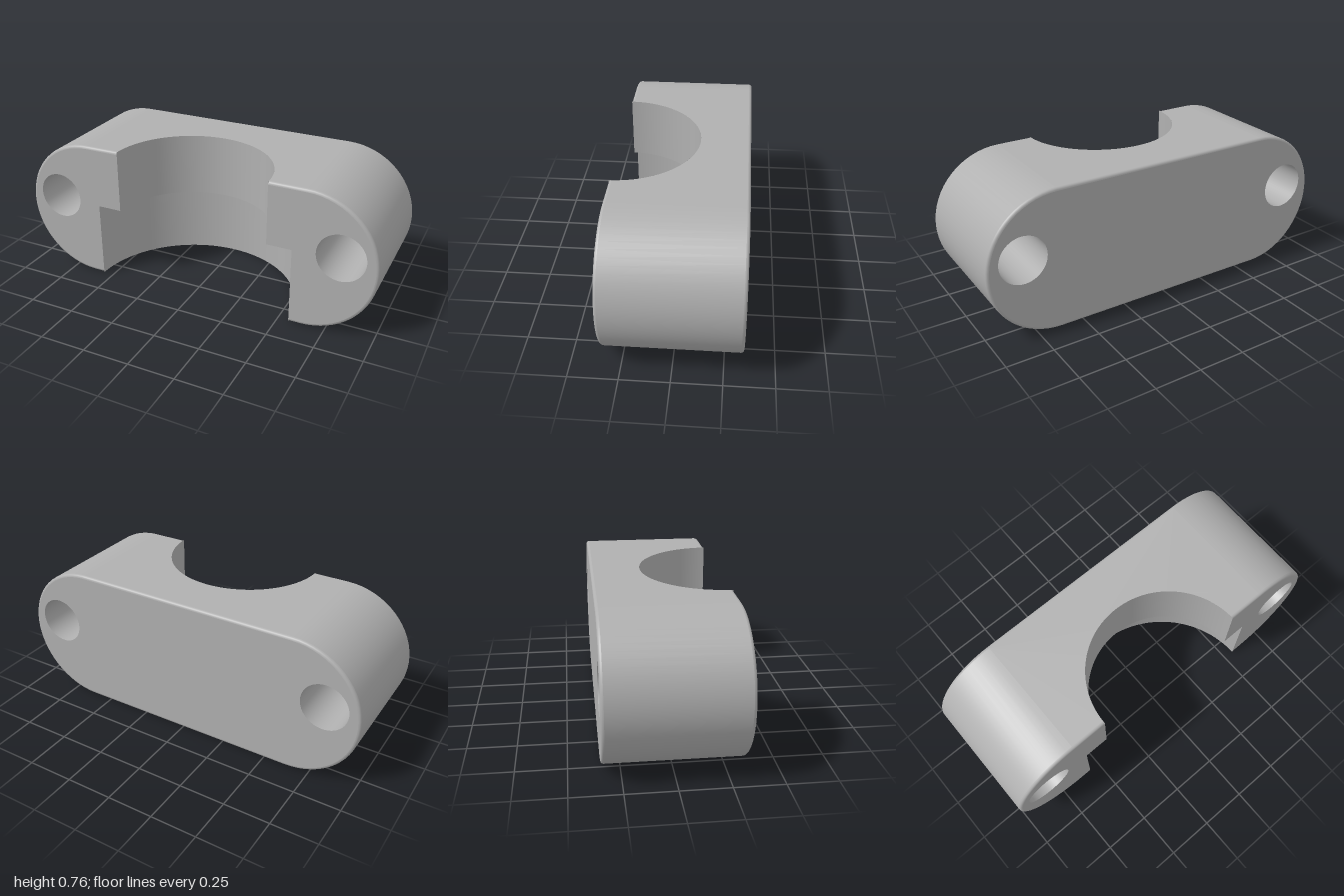
import * as THREE from 'three';

const H = 0.76, R = H / 2, CX = 1 - R;        // height, end radius, end centre
const D = 0.345, B = 0.015;                   // half depth, edge rounding
const STEP = 0.42, R_TOP = 0.425, R_LOW = 0.56; // stepped bore
const HOLE = { x: 0.81, y: 0.435, r: 0.127 };

const grey = new THREE.MeshStandardMaterial({ color: 0xb0b0b0, side: THREE.DoubleSide });
grey.name = 'grey';

// Right-hand end arc from bottom to top, as points with outward normals
function endArc(n = 32) {
  return Array.from({ length: n + 1 }, (_, i) => {
    const a = -Math.PI / 2 + (Math.PI * i) / n;
    const nx = Math.cos(a), ny = Math.sin(a);
    return { x: CX + R * nx, y: R + R * ny, nx, ny };
  });
}
const flat = (x, ny) => ({ x, y: ny > 0 ? H : 0, nx: 0, ny });

// Ribbon: follow a path, with a profile of [inset, z] across it
function ribbon(path, profile) {
  const pos = [], idx = [], m = profile.length;
  for (const p of path)
    for (const [inset, z] of profile) pos.push(p.x - p.nx * inset, p.y - p.ny * inset, z);
  for (let i = 0; i < path.length - 1; i++)
    for (let j = 0; j < m - 1; j++) {
      const a = i * m + j, b = a + m;
      idx.push(a, b, a + 1, b, b + 1, a + 1);
    }
  const g = new THREE.BufferGeometry();
  g.setAttribute('position', new THREE.Float32BufferAttribute(pos, 3));
  g.setIndex(idx);
  g.computeVertexNormals();
  return g;
}

// Quarter-round profile on the front (s = 1) or back (s = -1) edge
function edgeProfile(s) {
  const pts = [];
  for (let i = 0; i <= 4; i++) {
    const a = (i / 4) * Math.PI / 2;
    pts.push([B * (1 - Math.cos(a)), s * (D - B + B * Math.sin(a))]);
  }
  return s > 0 ? pts : pts.reverse();
}

const insetPoints = path => path.map(p => new THREE.Vector2(p.x - p.nx * B, p.y - p.ny * B));

function addHole(shape, x) {
  const hole = new THREE.Path();
  hole.absarc(x, HOLE.y, HOLE.r, 0, Math.PI * 2, true);
  shape.holes.push(hole);
}

// Horizontal cap with a semicircular bite taken from its front edge
function cap(r) {
  const s = new THREE.Shape(), z = D - B, a = Math.asin(B / r);
  s.moveTo(CX, -z);
  s.lineTo(CX, z);
  s.lineTo(-CX, z);
  s.lineTo(-CX, -z);
  s.absarc(0, -D, r, Math.PI - a, a, true);
  return new THREE.ShapeGeometry(s, 64).rotateX(-Math.PI / 2);
}

function boreWall(r, y0, y1) {
  return new THREE.CylinderGeometry(r, r, y1 - y0, 64, 1, true, Math.PI / 2, Math.PI)
    .translate(0, (y0 + y1) / 2, D);
}

export function createModel() {
  const model = new THREE.Group();
  model.name = 'clampBlock';
  const add = (name, geometry, parent = model) => {
    const mesh = new THREE.Mesh(geometry, grey);
    mesh.name = name;
    parent.add(mesh);
  };

  // Top and bottom
  add('topFace', cap(R_TOP).translate(0, H, 0));
  add('bottomFace', cap(R_LOW));

  // Stepped half-round bore
  add('upperBore', boreWall(R_TOP, STEP, H));
  add('lowerBore', boreWall(R_LOW, 0, STEP));
  add('boreShoulder', new THREE.RingGeometry(R_TOP, R_LOW, 64, 1, 0, Math.PI)
    .rotateX(-Math.PI / 2).translate(0, STEP, D));

  // Back face with both bolt holes
  const right = endArc();
  const left = endArc().reverse().map(p => ({ ...p, x: -p.x, nx: -p.nx }));
  const outline = [...right, ...left];
  const back = new THREE.Shape(insetPoints(outline));
  addHole(back, HOLE.x);
  addHole(back, -HOLE.x);
  add('backFace', new THREE.ShapeGeometry(back, 24).translate(0, 0, -D));
  add('backEdge', ribbon([...outline, outline[0]], edgeProfile(-1)));

  // Ears: rounded end, front face and bolt hole, mirrored
  for (const side of [1, -1]) {
    const ear = new THREE.Group();
    ear.name = side > 0 ? 'leftEar' : 'rightEar';
    ear.scale.x = side;
    const path = [flat(R_LOW, -1), ...endArc(), flat(R_TOP, 1)];
    add('endWall', ribbon(endArc(), [[0, -D + B], [0, D - B]]), ear);
    add('frontEdge', ribbon(path, edgeProfile(1)), ear);
    const front = new THREE.Shape([
      ...insetPoints(path),
      new THREE.Vector2(R_TOP, STEP),
      new THREE.Vector2(R_LOW, STEP),
    ]);
    addHole(front, HOLE.x);
    add('frontFace', new THREE.ShapeGeometry(front, 24).translate(0, 0, D), ear);
    add('boltHole', new THREE.CylinderGeometry(HOLE.r, HOLE.r, 2 * D, 48, 1, true)
      .rotateX(Math.PI / 2).translate(HOLE.x, HOLE.y, 0), ear);
    model.add(ear);
  }
  return model;
}
